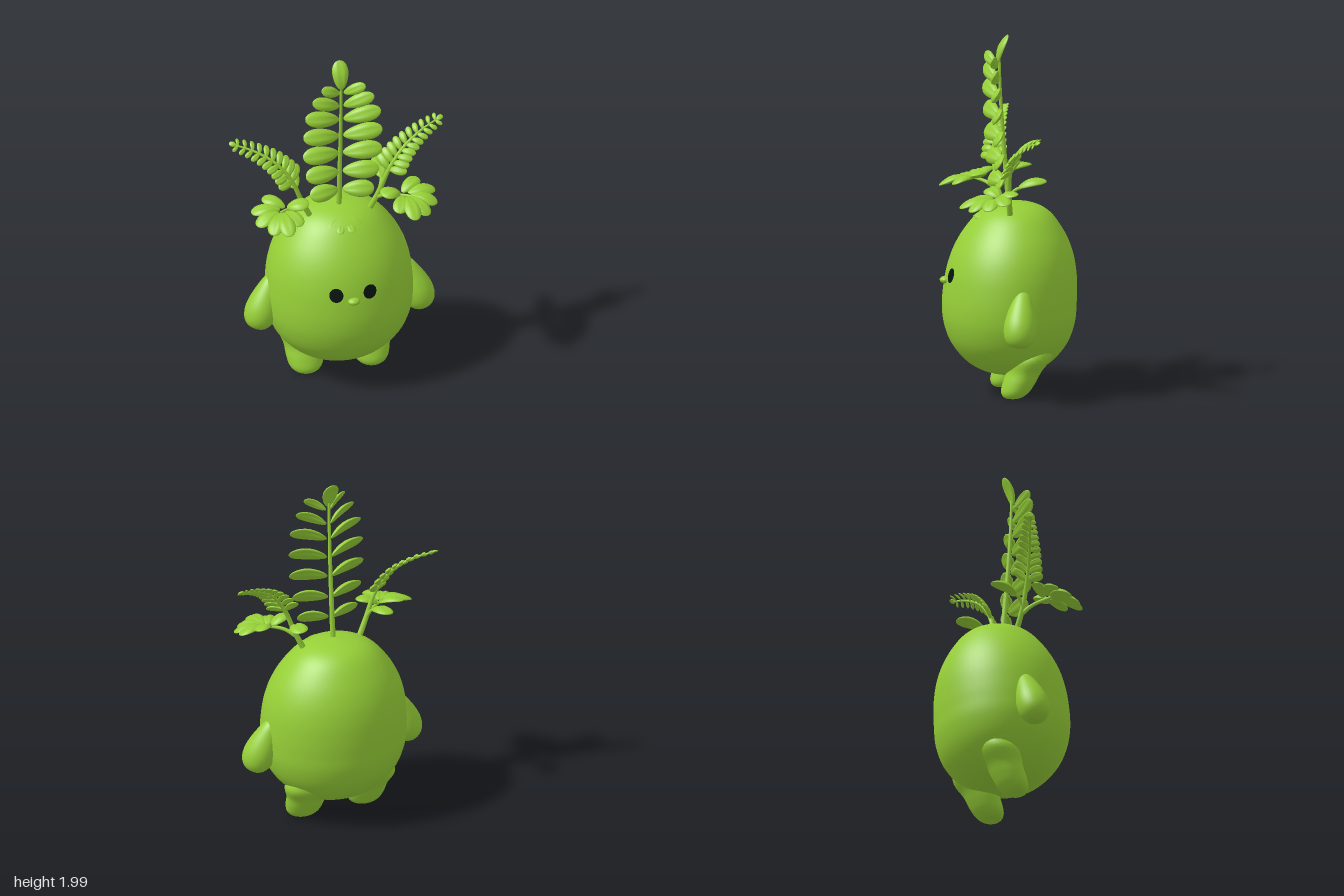
import * as THREE from 'three';
import { mergeVertices } from 'three/addons/utils/BufferGeometryUtils.js';

const V = (x, y, z) => new THREE.Vector3(x, y, z);

export function createModel() {
  const model = new THREE.Group();
  const green = new THREE.MeshStandardMaterial({ name: 'leaf green', color: 0x96cf37 });
  const dark = new THREE.MeshStandardMaterial({ name: 'eye black', color: 0x07140f });

  const add = (name, geo, parent = model, mat = green) => {
    const mesh = new THREE.Mesh(geo, mat);
    mesh.name = name;
    parent.add(mesh);
    return mesh;
  };
  const group = (name) => {
    const g = new THREE.Group();
    g.name = name;
    model.add(g);
    return g;
  };
  // Move every vertex by a rule, then weld and smooth
  const reshape = (geo, rule) => {
    const p = geo.attributes.position, v = V(0, 0, 0);
    for (let i = 0; i < p.count; i++) {
      v.fromBufferAttribute(p, i);
      rule(v, i);
      p.setXYZ(i, v.x, v.y, v.z);
    }
    geo.deleteAttribute('uv');
    geo.deleteAttribute('normal');
    const out = mergeVertices(geo, 1e-5);
    out.computeVertexNormals();
    return out;
  };
  // Smooth profile of [radius, height] pairs
  const profile = (pairs, n) =>
    new THREE.SplineCurve(pairs.map(([r, y]) => new THREE.Vector2(r, y))).getPoints(n)
      .map((p) => new THREE.Vector2(Math.max(0, p.x), p.y));

  // Egg-shaped body, leaning back slightly towards the top
  const bodyPts = profile([[0, 0.112], [0.1, 0.117], [0.2, 0.148], [0.285, 0.205], [0.36, 0.295], [0.4, 0.4],
    [0.41, 0.5], [0.407, 0.6], [0.394, 0.7], [0.364, 0.8], [0.31, 0.9], [0.225, 1.0], [0.13, 1.05], [0, 1.07]], 60);
  const lean = (y) => -0.06 * Math.max(0, y - 0.5);
  add('body', reshape(new THREE.LatheGeometry(bodyPts, 64), (v) => { v.z = v.z * 0.9 + lean(v.y); }));
  const bodyFront = (x, y) => {
    const i = bodyPts.findIndex((p) => p.y > y), a = bodyPts[i - 1], b = bodyPts[i];
    const r = a.x + (b.x - a.x) * (y - a.y) / (b.y - a.y);
    return 0.9 * Math.sqrt(r * r - x * x) + lean(y);
  };

  // Beak
  const beak = add('beak', new THREE.SphereGeometry(1, 24, 16));
  beak.scale.set(0.034, 0.02, 0.03);
  beak.position.set(0, 0.642, bodyFront(0, 0.642) + 0.002);

  // Puffy leaf from a to b: rounded tip, midrib groove, drooping end
  const leaf = (parent, name, a, b, width, normal, curl = 0.15, thick = 0.15) => {
    const X = b.clone().sub(a), len = X.length();
    X.normalize();
    const Y = normal.clone().cross(X).normalize(), Z = X.clone().cross(Y);
    const m = new THREE.Matrix4().makeBasis(X, Y, Z).setPosition(a);
    const geo = new THREE.SphereGeometry(1, 20, 12).rotateZ(-Math.PI / 2);
    add(name, reshape(geo, (v) => {
      const t = (v.x + 1) / 2, side = v.y;
      v.x = t * len;
      v.y *= width * 0.5 * (0.72 + 0.45 * t);
      v.z *= width * thick;
      v.z -= width * 0.09 * Math.exp(-side * side * 25) * Math.sin(Math.PI * t);
      v.z += len * curl * (Math.sin(Math.PI * t) - 0.3 * t) * 0.5 - width * 0.12 * side * side;
      v.applyMatrix4(m);
    }), parent);
  };
  // Tapered stem along a curve
  const stem = (parent, name, curve, r, end) => {
    const n = 32, k = 10;
    add(name, reshape(new THREE.TubeGeometry(curve, n, r, k), (v, i) => {
      const t = Math.floor(i / (k + 1)) / n;
      v.sub(curve.getPointAt(t)).multiplyScalar(1 + (end / r - 1) * t).add(curve.getPointAt(t));
    }), parent);
  };

  // Tall middle frond
  const tall = group('tallFrond');
  const tallCurve = new THREE.CatmullRomCurve3([V(0, 1.03, 0), V(0, 1.2, 0.015), V(0, 1.45, 0.035), V(0, 1.7, 0.05), V(0, 1.88, 0.055)]);
  stem(tall, 'tallStem', tallCurve, 0.016, 0.007);
  // Rows: base height, tip height, reach, width
  const rows = [[1.175, 1.185, 0.18, 0.1], [1.295, 1.315, 0.205, 0.105], [1.42, 1.45, 0.222, 0.105], [1.535, 1.58, 0.222, 0.1],
    [1.645, 1.705, 0.212, 0.095], [1.735, 1.81, 0.172, 0.08], [1.82, 1.885, 0.122, 0.065]];
  for (const [y0, y1, reach, w] of rows) {
    const z = 0.03 + 0.05 * (y0 - 1.2);
    for (const s of [-1, 1])
      leaf(tall, 'tallFrondLeaf', V(s * 0.012, y0, z + 0.005), V(s * reach, y1, z + 0.055), w, V(s * -0.15, 0.5, 0.85), 0.2);
  }
  leaf(tall, 'tallFrondTip', V(0, 1.84, 0.065), V(0, 2.0, 0.01), 0.095, V(0, 0.3, 1), 0.2);

  for (const s of [-1, 1]) {
    const side = s > 0 ? 'left' : 'right';
    const P = (x, y, z) => V(s * x, y, z);

    // Eye: thin patch following the face
    add(side + 'Eye', reshape(new THREE.RingGeometry(0.0001, 0.038, 32, 4), (v) => {
      v.set(v.x + s * 0.095, v.y * 1.06 + 0.681, 0);
      v.z = bodyFront(v.x, v.y) + 0.004;
    }), model, dark);

    // Foot: rounded stub slanting forward to the toe
    const footPts = profile([[0, 0.006], [0.055, 0.008], [0.092, 0.04], [0.107, 0.095], [0.114, 0.155], [0.138, 0.235], [0.09, 0.32]], 28);
    add(side + 'Foot', reshape(new THREE.LatheGeometry(footPts, 32), (v) => {
      v.x += s * 0.185;
      v.z = v.z * 0.84 + 0.015 - 0.45 * v.y;
    }));

    // Arm: drop shape hanging from the shoulder
    const armPts = profile([[0, 0], [0.05, 0.012], [0.08, 0.05], [0.09, 0.105], [0.084, 0.165], [0.066, 0.235], [0.042, 0.3], [0, 0.36]], 28);
    const arm = add(side + 'Arm', new THREE.LatheGeometry(armPts, 32));
    arm.position.set(s * 0.478, 0.332, 0.025);
    arm.quaternion.setFromUnitVectors(V(0, 1, 0), P(-0.115, 0.31, -0.045).normalize());

    // Arching side frond
    const frond = group(side + 'Frond');
    const curve = new THREE.CatmullRomCurve3([P(0.16, 1.0, 0.02), P(0.215, 1.12, 0.035), P(0.275, 1.27, 0.04),
      P(0.36, 1.385, 0.02), P(0.47, 1.455, -0.02), P(0.575, 1.49, -0.06)]);
    stem(frond, side + 'FrondStem', curve, 0.017, 0.005);
    const n = P(-0.35, 0.6, 0.7).normalize();
    const pairs = 10;
    for (let i = 0; i < pairs; i++) {
      const t = 0.42 + 0.55 * i / (pairs - 1);
      const a = curve.getPointAt(t), T = curve.getTangentAt(t);
      const across = n.clone().cross(T).normalize();
      const len = 0.105 - 0.06 * i / (pairs - 1);
      for (const k of [-1, 1]) {
        const dir = across.clone().multiplyScalar(k).addScaledVector(T, 0.45).normalize();
        leaf(frond, side + 'FrondLeaf', a, a.clone().addScaledVector(dir, len), len * 0.52, n, 0.2, 0.2);
      }
    }
    const end = curve.getPointAt(0.98);
    leaf(frond, side + 'FrondTip', end, end.clone().addScaledVector(curve.getTangentAt(1), 0.045), 0.032, n, 0.2, 0.2);

    // Low spreading leaf cluster: base, tip, width
    const low = group(side + 'LowLeaves');
    stem(low, side + 'LowStem', new THREE.CatmullRomCurve3([P(0.2, 1.09, 0.03), P(0.26, 1.13, 0.08), P(0.37, 1.145, 0.15)]), 0.012, 0.008);
    stem(low, side + 'BackStem', new THREE.CatmullRomCurve3([P(0.215, 1.12, 0.035), P(0.235, 1.17, 0.01), P(0.25, 1.195, -0.04)]), 0.01, 0.008);
    const leaves = [
      [P(0.24, 1.185, -0.01), P(0.265, 1.23, -0.165), 0.105],
      [P(0.32, 1.15, 0.11), P(0.205, 1.185, 0.15), 0.1],
      [P(0.33, 1.145, 0.14), P(0.275, 1.125, 0.27), 0.09],
      [P(0.35, 1.145, 0.15), P(0.355, 1.11, 0.335), 0.095],
      [P(0.36, 1.145, 0.15), P(0.44, 1.1, 0.29), 0.095],
      [P(0.37, 1.145, 0.14), P(0.51, 1.115, 0.2), 0.095],
      [P(0.36, 1.15, 0.12), P(0.52, 1.145, 0.1), 0.09],
      [P(0.33, 1.15, 0.11), P(0.44, 1.185, 0.03), 0.085],
    ];
    for (const [a, b, w] of leaves) leaf(low, side + 'LowLeaf', a, b, w, P(0.1, 1, 0.2), 0.25);

    // Small leaves pressed onto the crown
    leaf(model, side + 'CrownLeaf', P(0.008, 1.035, 0.1), P(0.09, 1.0, 0.155), 0.06, V(0, 0.85, 0.5), 0.1, 0.12);
    leaf(model, side + 'CrownLeaf', P(0.005, 1.02, 0.12), P(0.04, 0.985, 0.195), 0.05, V(0, 0.85, 0.5), 0.1, 0.12);
  }
  return model;
}
